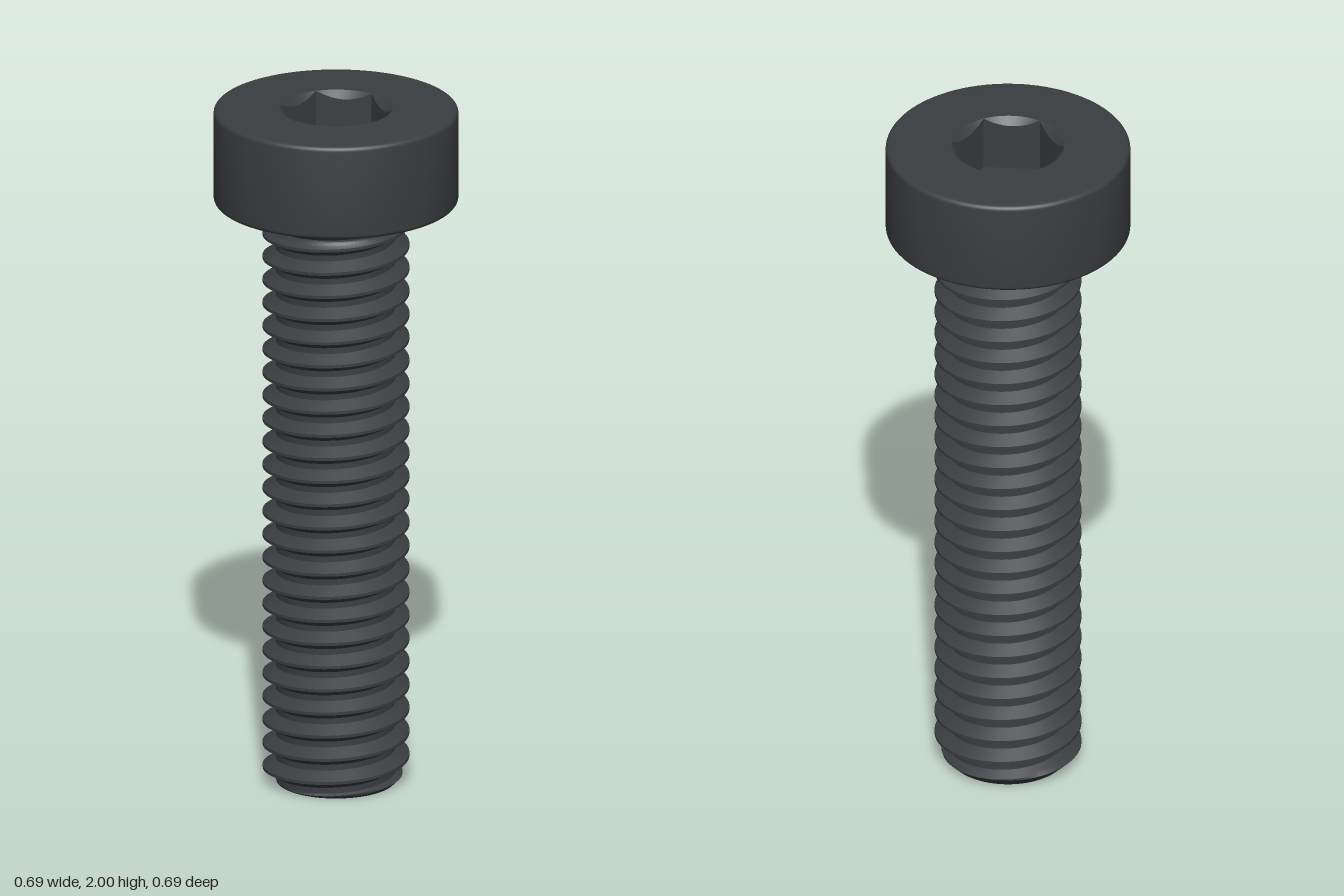
import * as THREE from 'three';
import { toCreasedNormals } from 'three/addons/utils/BufferGeometryUtils.js';

// Dimensions in millimetres; the finished geometry is scaled to a height of 2.
const UNIT = 2 / 29;
const N = 96;
const PITCH = 1, CREST = 3, DEPTH = 0.541, PHASE = 0.08;
const SHANK_TOP = 24.6, HEAD_BASE = 25, HEAD_TOP = 29, HEAD_R = 5, EDGE = 0.2;
const HEX_FLAT = 2, HEX_CORNER = HEX_FLAT / Math.cos(Math.PI / 6), SOCKET_FLOOR = 26.7;

const clamp = THREE.MathUtils.clamp;
const material = new THREE.MeshStandardMaterial({ color: 0x3b3e41 });

// Skins a stack of rings; each ring is a function angle -> [radius, height].
function skin(name, rings, crease = 0.5) {
  const point = (ring, j) => {
    const t = (j / N) * Math.PI * 2;
    const [r, y] = ring(t);
    return new THREE.Vector3(r * Math.cos(t), y, -r * Math.sin(t));
  };
  const positions = [];
  const tri = new THREE.Triangle();
  const add = (a, b, c) => {
    if (tri.set(a, b, c).getArea() < 1e-7) return;
    for (const p of [a, b, c]) positions.push(p.x, p.y, p.z);
  };
  const rows = rings.map(ring => Array.from({ length: N + 1 }, (_, j) => point(ring, j)));
  for (let i = 0; i < rows.length - 1; i++) {
    for (let j = 0; j < N; j++) {
      const a = rows[i][j], b = rows[i][j + 1], c = rows[i + 1][j + 1], d = rows[i + 1][j];
      add(a, b, c);
      add(a, c, d);
    }
  }
  const raw = new THREE.BufferGeometry();
  raw.setAttribute('position', new THREE.Float32BufferAttribute(positions, 3));
  const geometry = toCreasedNormals(raw, crease);
  geometry.scale(UNIT, UNIT, UNIT);
  const mesh = new THREE.Mesh(geometry, material);
  mesh.name = name;
  return mesh;
}

const circle = (r, y) => () => [r, y];

// Quarter-round profile as circles, from angle a0 to a1 about (r, y).
function arc(r, y, radius, a0, a1, steps = 6) {
  return Array.from({ length: steps + 1 }, (_, i) => {
    const a = THREE.MathUtils.lerp(a0, a1, i / steps);
    return circle(r + radius * Math.cos(a), y + radius * Math.sin(a));
  });
}

// Thread radius: 60 degree V with flat crest and root, chamfered tip, run-out under the head.
function threadRadius(t, y) {
  const f = y / PITCH - t / (2 * Math.PI) - PHASE;
  const d = Math.abs(f - Math.round(f));
  const groove = clamp((d - 1 / 16) / (5 / 16), 0, 1) * DEPTH;
  const fade = 1 - THREE.MathUtils.smoothstep(y, 23.8, SHANK_TOP);
  return Math.min(CREST - groove * fade, 2.44 + y);
}

// Rows follow the helix so crest and root edges stay crisp.
function threadRings() {
  const rings = [];
  const steps = [-1 / 16, 0, 1 / 16, 0.14, 0.22, 0.3, 0.375, 0.5, 0.625, 0.7, 0.78, 0.86];
  for (let n = -2; n <= 25; n++) {
    for (const s of steps) {
      rings.push(t => {
        const y = clamp((n + s + PHASE + t / (2 * Math.PI)) * PITCH, 0, SHANK_TOP);
        return [threadRadius(t, y), y];
      });
    }
  }
  return rings;
}

// Hexagon radius with corners on the x axis.
function hexRadius(t) {
  const sector = Math.PI / 3;
  const local = t - Math.floor(t / sector + 1e-9) * sector - sector / 2;
  return HEX_FLAT / Math.cos(local);
}

export function createModel() {
  const group = new THREE.Group();
  group.name = 'socketHeadScrew';
  const half = Math.PI / 2;

  group.add(skin('shankTip', [circle(0, 0), t => [threadRadius(t, 0), 0]]));
  group.add(skin('threadedShank', threadRings()));

  // Fillet, underside, rounded edges, side wall and top face
  group.add(skin('head', [
    ...arc(CREST + 0.4, SHANK_TOP, 0.4, Math.PI, half),
    ...arc(HEAD_R - EDGE, HEAD_BASE + EDGE, EDGE, -half, 0),
    ...arc(HEAD_R - EDGE, HEAD_TOP - EDGE, EDGE, 0, half),
    circle(HEX_CORNER, HEAD_TOP),
  ]));

  // Countersink cone cut by the hexagon, then walls and floor
  group.add(skin('hexSocket', [
    circle(HEX_CORNER, HEAD_TOP),
    t => [hexRadius(t), HEAD_TOP - (HEX_CORNER - hexRadius(t))],
    t => [hexRadius(t), SOCKET_FLOOR],
    circle(0, SOCKET_FLOOR),
  ]));
  return group;
}
